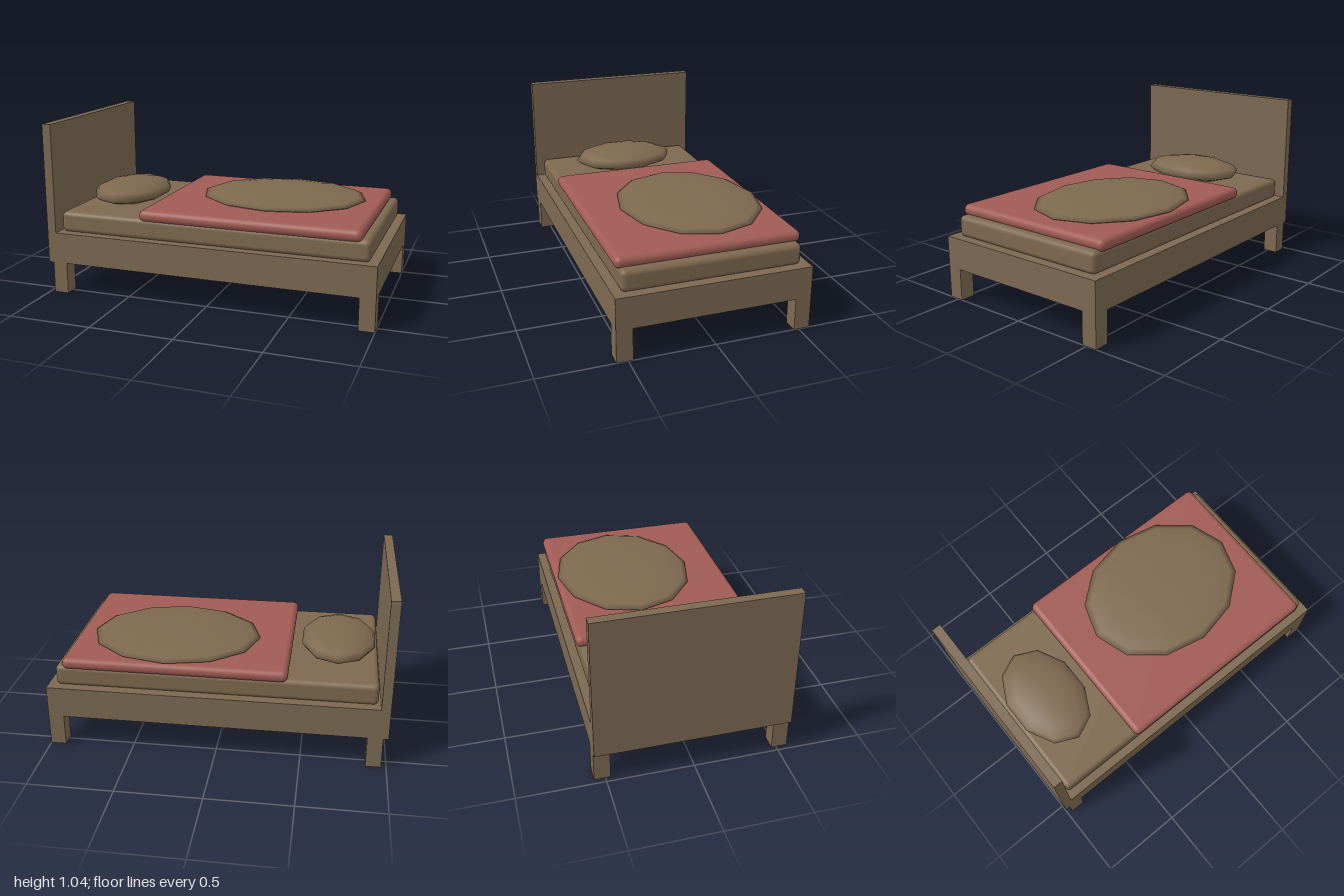
import * as THREE from 'three';
import { RoundedBoxGeometry } from 'three/addons/geometries/RoundedBoxGeometry.js';

export function createModel() {
  const bed = new THREE.Group();
  bed.name = 'bed';

  const material = (name, color) => {
    const m = new THREE.MeshStandardMaterial({ color });
    m.name = name;
    return m;
  };
  const wood = material('wood', 0x7c6952);
  const linen = material('linen', 0x7e694f);
  const red = material('dustyRed', 0xa05b54);

  const add = (name, geometry, mat, x, y, z) => {
    const mesh = new THREE.Mesh(geometry, mat);
    mesh.name = name;
    mesh.position.set(x, y, z);
    bed.add(mesh);
    return mesh;
  };
  // Box given by its x range, y range and full depth
  const box = (name, mat, x0, x1, y0, y1, depth, z = 0, radius = 0) => {
    const size = [x1 - x0, y1 - y0, depth];
    const geometry = radius
      ? new RoundedBoxGeometry(...size, 4, radius)
      : new THREE.BoxGeometry(...size);
    return add(name, geometry, mat, (x0 + x1) / 2, (y0 + y1) / 2, z);
  };

  // Wooden frame
  box('headboard', wood, -1, -0.945, 0.19, 1.037, 1.13);
  box('frame', wood, -0.945, 1, 0.19, 0.377, 1.13);
  for (const side of [-1, 1]) {
    box('headLeg', wood, -0.97, -0.88, 0, 0.19, 0.093, side * 0.5185);
    box('footLeg', wood, 0.908, 1, 0, 0.19, 0.093, side * 0.5185);
  }

  // Bedding
  box('mattress', linen, -0.93, 0.953, 0.373, 0.5, 1.035, 0, 0.03);
  box('blanket', red, -0.413, 0.907, 0.485, 0.555, 1.07, 0, 0.034);

  // Faceted-outline cushions: flattened low-segment spheres
  const pillow = add('pillow', new THREE.SphereGeometry(1, 10, 8).rotateY(Math.PI / 2),
    linen, -0.69, 0.547, 0);
  pillow.scale.set(0.23, 0.073, 0.33);
  const cushion = add('flatCushion', new THREE.SphereGeometry(1, 12, 8),
    linen, 0.297, 0.562, -0.1);
  cushion.scale.set(0.513, 0.042, 0.422);

  return bed;
}
